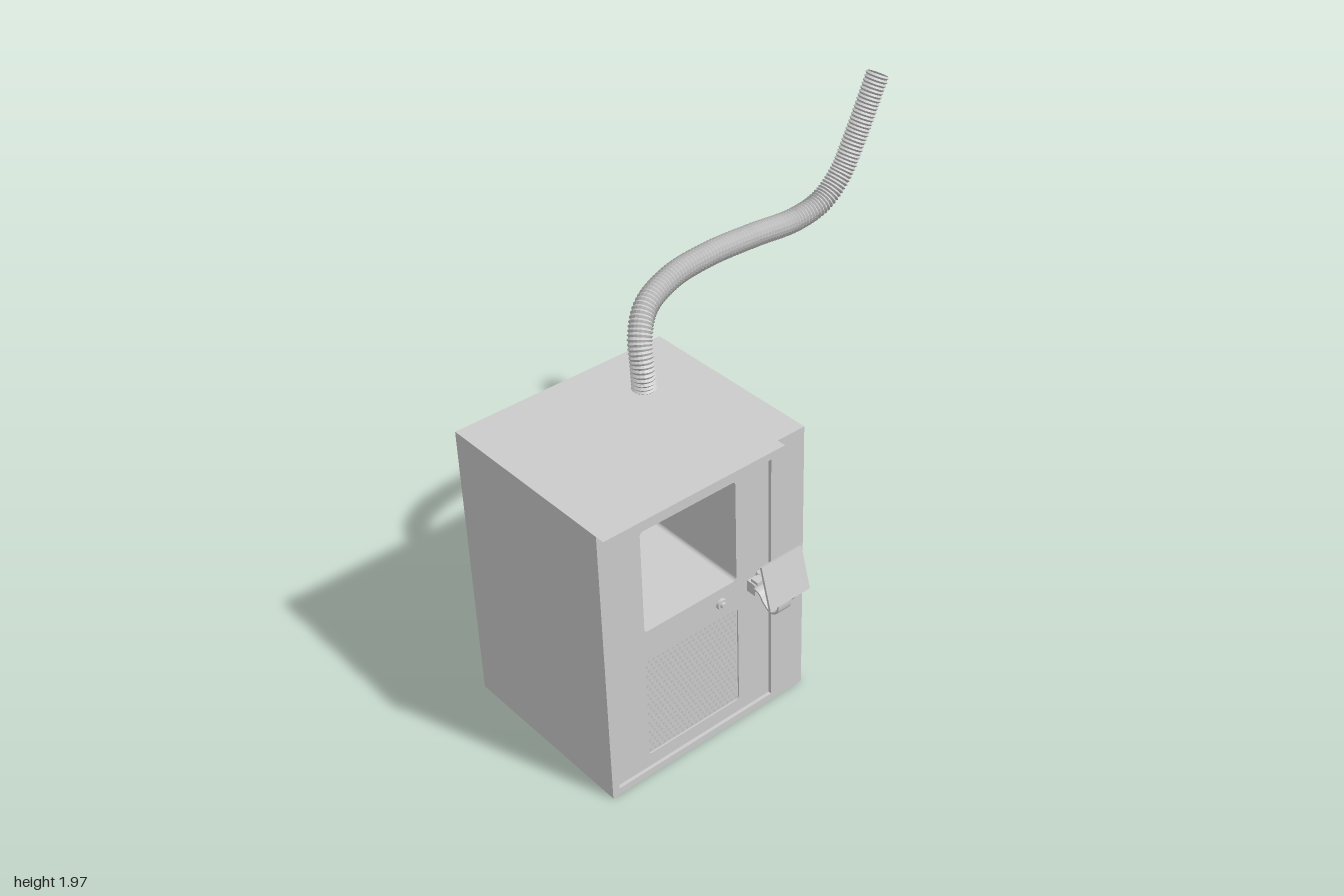
import * as THREE from 'three';

const grey = new THREE.MeshStandardMaterial({ color: 0xcccccc });
const greyFlat = new THREE.MeshStandardMaterial({ color: 0xcccccc, flatShading: true, side: THREE.DoubleSide });
const V = (x, y, z) => new THREE.Vector3(x, y, z);

function add(parent, name, geometry, x = 0, y = 0, z = 0, material = grey) {
  const mesh = new THREE.Mesh(geometry, material);
  mesh.name = name;
  mesh.position.set(x, y, z);
  parent.add(mesh);
  return mesh;
}

// Box given by its limits on each axis
function block(parent, name, [x0, x1], [y0, y1], [z0, z1]) {
  return add(parent, name, new THREE.BoxGeometry(x1 - x0, y1 - y0, z1 - z0),
    (x0 + x1) / 2, (y0 + y1) / 2, (z0 + z1) / 2);
}

// Upright rectangle with rounded corners
function roundRect(x0, x1, y0, y1, r, Kind = THREE.Shape) {
  const s = new Kind();
  s.moveTo(x0 + r, y0);
  s.lineTo(x1 - r, y0);
  s.absarc(x1 - r, y0 + r, r, -Math.PI / 2, 0);
  s.absarc(x1 - r, y1 - r, r, 0, Math.PI / 2);
  s.absarc(x0 + r, y1 - r, r, Math.PI / 2, Math.PI);
  s.absarc(x0 + r, y0 + r, r, Math.PI, Math.PI * 1.5);
  return s;
}

const polygon = (pts, Kind = THREE.Shape) => new Kind(pts.map(p => new THREE.Vector2(...p)));
const rect = (x0, x1, y0, y1, Kind) => polygon([[x0, y0], [x1, y0], [x1, y1], [x0, y1]], Kind);
const extrude = (shape, depth) =>
  new THREE.ExtrudeGeometry(shape, { depth, bevelEnabled: false, curveSegments: 5 });

// Straight round rod between two points
function rod(parent, name, a, b, r) {
  const mesh = add(parent, name, new THREE.CylinderGeometry(r, r, a.distanceTo(b), 14));
  mesh.position.copy(a).lerp(b, 0.5);
  mesh.quaternion.setFromUnitVectors(V(0, 1, 0), b.clone().sub(a).normalize());
  return mesh;
}

function makeCabinet() {
  const g = new THREE.Group();
  g.name = 'cabinet';
  const t = 0.02, X = [-1, -0.085], Y = [0, 1.19], Z = [-0.51, 0.255];
  block(g, 'bottomPanel', X, [0, t], Z);
  block(g, 'topPanel', X, [Y[1] - t, Y[1]], Z);
  block(g, 'backPanel', X, [t, Y[1] - t], [Z[0], Z[0] + t]);
  block(g, 'rightPanel', [X[0], X[0] + t], [t, Y[1] - t], [Z[0] + t, Z[1]]);
  block(g, 'leftPanel', [X[1] - t, X[1]], [t, Y[1] - t], [Z[0] + t, Z[1]]);

  const frame = rect(...X, ...Y);
  frame.holes.push(rect(-0.97, -0.24, 0.03, 1.16, THREE.Path));
  add(g, 'frontFrame', extrude(frame, 0.023), 0, 0, Z[1]);

  // Mitred lip above the door
  const lip = polygon([[-0.97, 1.16], [-0.24, 1.16], [-0.21, 1.19], [-1, 1.19]]);
  add(g, 'topLip', extrude(lip, 0.037), 0, 0, 0.278);
  return g;
}

function makeDoor() {
  const g = new THREE.Group();
  g.name = 'door';
  const win = [-0.815, -0.395, 0.665, 1.1], vent = [-0.82, -0.39, 0.09, 0.53];
  const door = rect(-0.968, -0.242, 0.032, 1.158);
  door.holes.push(roundRect(...win, 0.015, THREE.Path), roundRect(...vent, 0.015, THREE.Path));
  add(g, 'doorPanel', extrude(door, 0.025), 0, 0, 0.241);

  // Deep chamber behind the window
  const liner = rect(win[0] - 0.01, win[1] + 0.01, win[2] - 0.01, win[3] + 0.01);
  liner.holes.push(roundRect(...win, 0.015, THREE.Path));
  add(g, 'chamberLiner', extrude(liner, 0.721), 0, 0, -0.48);
  block(g, 'chamberBack', [win[0], win[1]], [win[2], win[3]], [-0.488, -0.478]);

  // Perforated grille with staggered diamond holes
  const grille = rect(...vent);
  const n = 20, sx = (vent[1] - vent[0]) / n, sy = (vent[3] - vent[2]) / n;
  for (let j = 0; j < n; j++) {
    for (let i = 0; i < n - (j % 2); i++) {
      const x = vent[0] + (i + 0.5 + (j % 2) / 2) * sx, y = vent[2] + (j + 0.5) * sy;
      const a = sx * 0.38, b = sy * 0.42;
      grille.holes.push(polygon([[x - a, y], [x, y - b], [x + a, y], [x, y + b]], THREE.Path));
    }
  }
  add(g, 'grille', extrude(grille, 0.01), 0, 0, 0.25);
  block(g, 'grilleBacking', [vent[0], vent[1]], [vent[2], vent[3]], [0.23, 0.238]);

  // Knob
  const ring = add(g, 'knobRing', new THREE.CylinderGeometry(0.02, 0.022, 0.012, 24), -0.47, 0.6, 0.271);
  const knob = add(g, 'knob', new THREE.CylinderGeometry(0.01, 0.012, 0.012, 20), -0.47, 0.6, 0.281);
  ring.rotation.x = knob.rotation.x = Math.PI / 2;
  return g;
}

function makeArm() {
  const g = new THREE.Group();
  g.name = 'latchArm';
  add(g, 'mountPlate', extrude(roundRect(-0.2, -0.115, 0.53, 0.67, 0.008), 0.012), 0, 0, 0.278);

  // Bracket with its upright pin
  block(g, 'bracketTop', [-0.19, -0.14], [0.64, 0.67], [0.288, 0.328]);
  block(g, 'bracketBottom', [-0.172, -0.142], [0.55, 0.565], [0.288, 0.328]);
  rod(g, 'pin', V(-0.157, 0.55, 0.315), V(-0.157, 0.695, 0.315), 0.01);
  for (const x of [-0.173, -0.142]) rod(g, 'bracketSide', V(x, 0.555, 0.305), V(x, 0.65, 0.305), 0.004);

  // Swinging arm, tapering toward the pad
  const arm = polygon([[-0.35, 0.315], [-0.15, 0.3], [-0.14, 0.322], [-0.2, 0.332], [-0.34, 0.348]]
    .map(([x, z]) => [x, -z]));
  const swing = add(g, 'swingArm', extrude(arm, 0.016));
  swing.rotation.x = -Math.PI / 2;
  swing.geometry.translate(0.15, 0.31, 0);
  swing.position.set(-0.15, 0.665, 0.31);
  swing.rotation.order = 'ZXY';
  swing.rotation.z = -0.13;

  block(g, 'pivotBlock', [-0.388, -0.332], [0.642, 0.69], [0.315, 0.355]);
  rod(g, 'pivotPin', V(-0.34, 0.64, 0.335), V(-0.34, 0.712, 0.335), 0.014);
  block(g, 'pivotCap', [-0.388, -0.332], [0.698, 0.71], [0.335, 0.37]);

  // Bent spring strip carrying the pad
  const path = new THREE.CatmullRomCurve3([[0.35, 0.672], [0.375, 0.67], [0.405, 0.638], [0.44, 0.62],
    [0.472, 0.643], [0.476, 0.69], [0.442, 0.82], [0.448, 0.847], [0.466, 0.828], [0.47, 0.81]]
    .map(([z, y]) => V(0, y, z)));
  const pts = path.getSpacedPoints(48);
  const side = s => pts.map((p, i) => {
    const d = path.getTangentAt(i / 48);
    return [-p.z + s * d.y, p.y + s * d.z];
  });
  const strip = extrude(polygon([...side(0.004), ...side(-0.004).reverse()]), 0.06);
  strip.rotateY(Math.PI / 2);
  add(g, 'springStrip', strip, -0.39, 0, 0);

  // Tilted square pad
  const pad = add(g, 'pad', new THREE.BoxGeometry(0.185, 0.17, 0.01), -0.3625, 0.79, 0.484);
  pad.rotation.x = -0.27;

  // Tether cable with its end ring
  const cable = new THREE.CatmullRomCurve3([V(-0.16, 0.64, 0.335), V(-0.168, 0.58, 0.342),
    V(-0.166, 0.52, 0.335), V(-0.16, 0.475, 0.31), V(-0.155, 0.455, 0.29)]);
  add(g, 'tether', new THREE.TubeGeometry(cable, 24, 0.003, 6));
  const stud = add(g, 'tetherStud', new THREE.CylinderGeometry(0.012, 0.012, 0.02, 16), -0.155, 0.455, 0.287);
  stud.rotation.x = Math.PI / 2;
  return g;
}

// Corrugated hose: a tube whose rings alternate between ridge and valley
function makeHose() {
  const path = new THREE.CatmullRomCurve3([
    V(-0.345, 1.17, -0.28), V(-0.343, 1.27, -0.287), V(-0.32, 1.37, -0.325), V(-0.25, 1.445, -0.375),
    V(-0.1, 1.488, -0.418), V(0.1, 1.5, -0.438), V(0.32, 1.49, -0.446), V(0.55, 1.478, -0.446),
    V(0.68, 1.51, -0.445), V(0.77, 1.59, -0.443), V(0.84, 1.71, -0.442), V(0.957, 1.95, -0.441)]);
  const ridges = 120, segments = ridges * 4, sides = 18, r = 0.047;
  const geo = new THREE.TubeGeometry(path, segments, r, sides);
  const pos = geo.attributes.position, v = V(0, 0, 0);
  for (let i = 0; i <= segments; i++) {
    const centre = path.getPointAt(i / segments);
    const scale = [0.86, 0.93, 1, 0.93][i % 4];
    for (let j = 0; j <= sides; j++) {
      const k = i * (sides + 1) + j;
      v.fromBufferAttribute(pos, k).sub(centre).multiplyScalar(scale).add(centre);
      pos.setXYZ(k, v.x, v.y, v.z);
    }
  }
  geo.computeVertexNormals();
  const hose = new THREE.Mesh(geo, greyFlat);
  hose.name = 'hose';
  return hose;
}

export function createModel() {
  const model = new THREE.Group();
  model.name = 'cabinetWithHose';
  model.add(makeCabinet(), makeDoor(), makeArm(), makeHose());
  return model;
}
